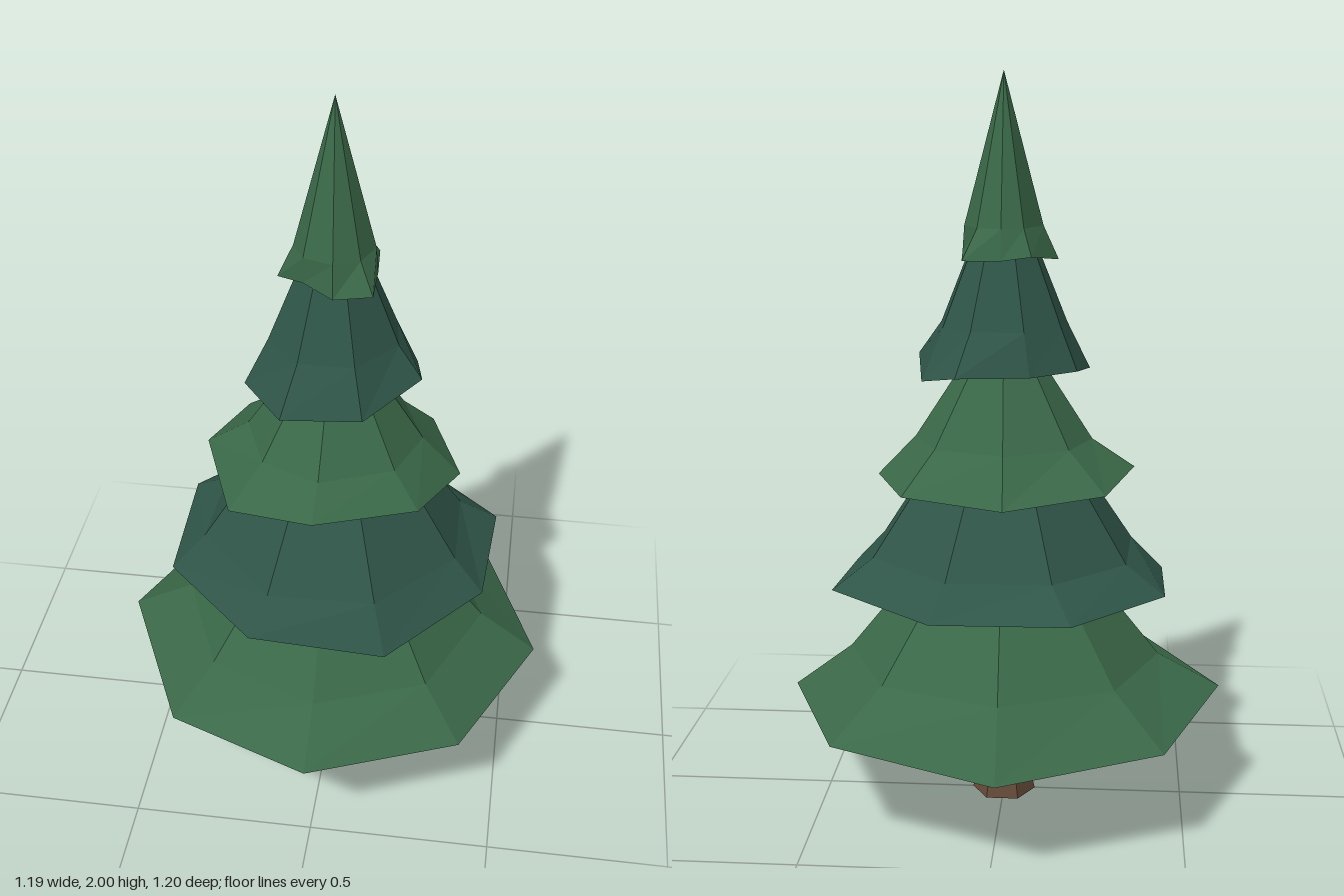
import * as THREE from 'three';

const LIGHT = 0x3a6848, DARK = 0x2f5548, BARK = 0x644a38;

function material(color) {
  return new THREE.MeshStandardMaterial({ color, flatShading: true });
}

// Each tier: uneven eight-point hem [x, y, z], a shoulder ring, and an apex height.
const TIERS = [
  { name: 'bottomTier', color: LIGHT, shoulder: 0.43, shoulderY: 0.42, apex: 0.95, hem: [
    [0.59, 0.30, 0], [0.40, 0.31, 0.42], [0, 0.33, 0.60], [-0.40, 0.29, 0.41],
    [-0.60, 0.33, -0.01], [-0.44, 0.30, -0.42], [-0.02, 0.28, -0.60], [0.42, 0.30, -0.43]] },
  { name: 'lowerTier', color: DARK, shoulder: 0.37, shoulderY: 0.72, apex: 1.27, hem: [
    [0.43, 0.63, 0.15], [0.19, 0.61, 0.42], [-0.17, 0.65, 0.44], [-0.44, 0.62, 0.15],
    [-0.44, 0.65, -0.20], [-0.20, 0.65, -0.46], [0.16, 0.64, -0.44], [0.45, 0.64, -0.18]] },
  { name: 'middleTier', color: LIGHT, shoulder: 0.24, shoulderY: 1.03, apex: 1.40, hem: [
    [0.345, 0.92, 0], [0.25, 0.95, 0.22], [-0.015, 0.96, 0.33], [-0.25, 0.92, 0.25],
    [-0.355, 0.955, -0.01], [-0.28, 0.93, -0.24], [-0.02, 0.91, -0.34], [0.25, 0.92, -0.25]] },
  { name: 'upperTier', color: DARK, shoulder: 0.175, shoulderY: 1.34, apex: 1.77, hem: [
    [0.235, 1.25, 0.05], [0.10, 1.22, 0.22], [-0.11, 1.215, 0.235], [-0.23, 1.21, 0.07],
    [-0.20, 1.23, -0.10], [-0.08, 1.23, -0.205], [0.11, 1.23, -0.23], [0.21, 1.20, -0.11]] },
  { name: 'topTier', color: LIGHT, shoulder: 0.105, shoulderY: 1.60, apex: 2.0, hem: [
    [0.11, 1.53, 0], [0.11, 1.52, 0.11], [0.01, 1.51, 0.12], [-0.07, 1.53, 0.08],
    [-0.145, 1.51, 0.02], [-0.08, 1.53, -0.12], [0, 1.52, -0.13], [0.10, 1.52, -0.13]] },
];

function makeTier({ name, color, hem, shoulder, shoulderY, apex }) {
  const n = hem.length;
  const ring = hem.map(([x, , z]) => {
    const k = shoulder / Math.hypot(x, z);
    return [x * k, shoulderY, z * k];
  });
  const meanY = hem.reduce((sum, p) => sum + p[1], 0) / n;
  const points = [...hem, ...ring, [0, apex, 0], [0, meanY, 0]];
  const top = 2 * n, base = top + 1, index = [];
  for (let i = 0; i < n; i++) {
    const j = (i + 1) % n;
    index.push(i, i + n, j, j, i + n, j + n); // flared skirt
    index.push(i + n, top, j + n);            // cone
    index.push(i, j, base);                   // underside
  }
  const geometry = new THREE.BufferGeometry();
  geometry.setAttribute('position', new THREE.Float32BufferAttribute(points.flat(), 3));
  geometry.setIndex(index);
  const flat = geometry.toNonIndexed();
  flat.computeVertexNormals();
  const mesh = new THREE.Mesh(flat, material(color));
  mesh.name = name;
  return mesh;
}

// Six-sided trunk with a flared foot
function makeTrunk() {
  const profile = [[0, 0], [0.088, 0], [0.062, 0.11], [0.056, 0.4], [0, 0.4]]
    .map(([r, y]) => new THREE.Vector2(r, y));
  const geometry = new THREE.LatheGeometry(profile, 6);
  geometry.rotateY(Math.PI / 6);
  const mesh = new THREE.Mesh(geometry, material(BARK));
  mesh.name = 'trunk';
  return mesh;
}

export function createModel() {
  const tree = new THREE.Group();
  tree.name = 'pineTree';
  tree.add(makeTrunk(), ...TIERS.map(makeTier));
  return tree;
}
